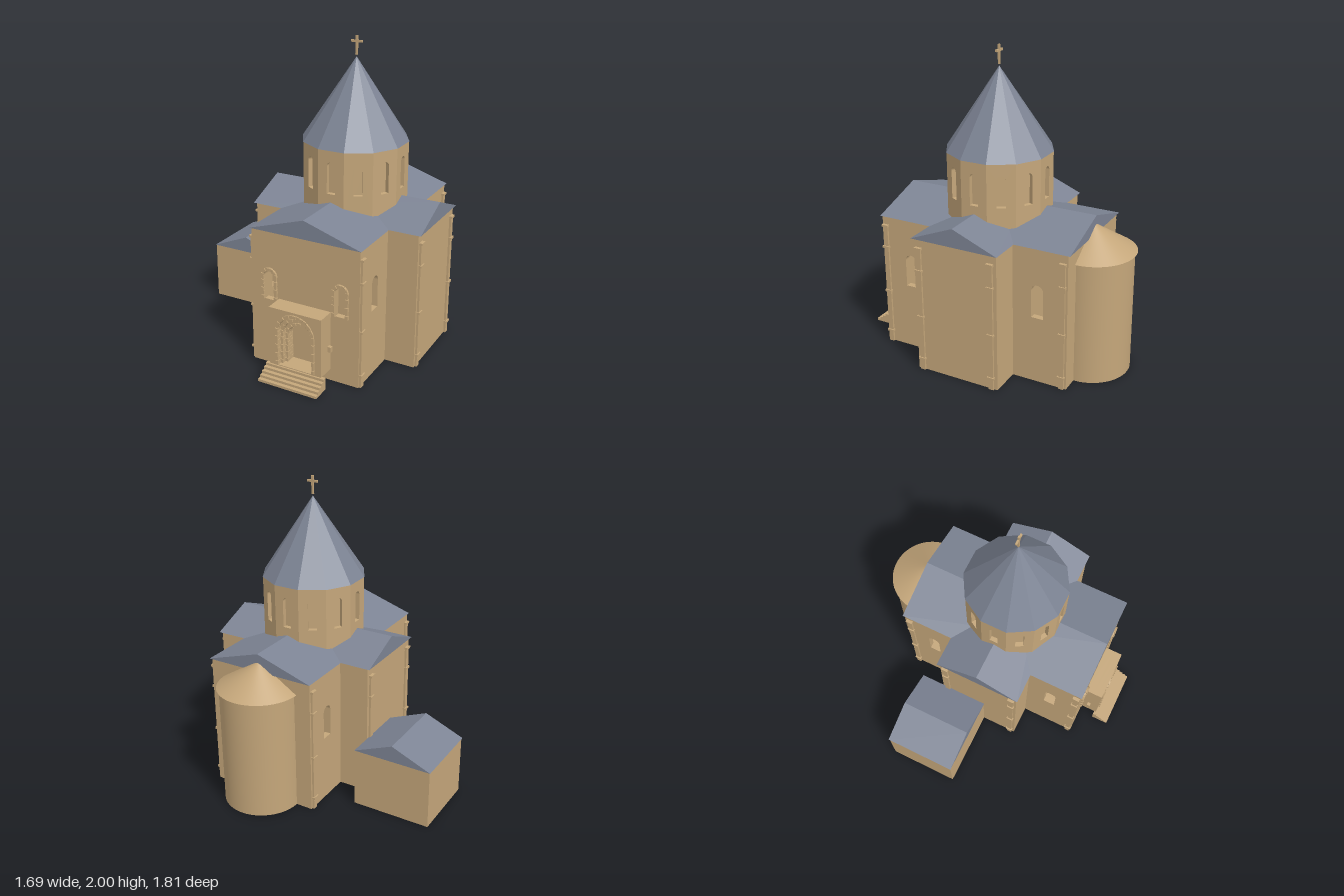
import * as THREE from 'three';

const stone = new THREE.MeshStandardMaterial({ color: 0xc4a67a });
stone.name = 'sandstone';
const slate = new THREE.MeshStandardMaterial({ color: 0x7d8494 });
slate.name = 'slate roof';

const CX = 0.25, CZ = 0.02; // centre of the crossing

export function createModel() {
  const root = new THREE.Group();
  root.name = 'church';

  const add = (name, geo, mat = stone, parent = root) => {
    const m = new THREE.Mesh(geo, mat);
    m.name = name;
    parent.add(m);
    return m;
  };
  // box given by its min and max corners
  const box = (name, x0, x1, y0, y1, z0, z1, parent = root) => {
    const m = add(name, new THREE.BoxGeometry(x1 - x0, y1 - y0, z1 - z0), stone, parent);
    m.position.set((x0 + x1) / 2, (y0 + y1) / 2, (z0 + z1) / 2);
    return m;
  };
  const flat = (geo) => {
    const g = geo.toNonIndexed();
    g.computeVertexNormals();
    return g;
  };
  const extrude = (shape, depth) =>
    new THREE.ExtrudeGeometry(shape, { depth, bevelEnabled: false, curveSegments: 16 });
  const rect = (x0, x1, y0, y1) => new THREE.Shape([
    new THREE.Vector2(x0, y0), new THREE.Vector2(x1, y0),
    new THREE.Vector2(x1, y1), new THREE.Vector2(x0, y1)]);
  // round-headed opening: centre x, sill, spring line, radius
  const archHole = (x, sill, spring, r) => {
    const p = new THREE.Path();
    p.moveTo(x - r, sill);
    p.lineTo(x + r, sill);
    p.lineTo(x + r, spring);
    p.absarc(x, spring, r, 0, Math.PI, false);
    p.lineTo(x - r, sill);
    return p;
  };
  // solid gable roof, ridge along z, centred on its own origin
  const gable = (name, half, rise, length) => {
    const s = new THREE.Shape([new THREE.Vector2(-half, 0), new THREE.Vector2(half, 0), new THREE.Vector2(0, rise)]);
    return add(name, extrude(s, length).translate(0, 0, -length / 2), slate);
  };
  // jamb blocks and voussoirs around a round-headed opening
  const archBlocks = (name, x, sill, spring, rIn, rOut, z0, z1, nArch, nJamb) => {
    const g = new THREE.Group();
    g.name = name;
    root.add(g);
    for (let i = 0; i < nArch; i++) {
      const a0 = (i + 0.05) * Math.PI / nArch, a1 = (i + 0.95) * Math.PI / nArch;
      const s = new THREE.Shape();
      s.absarc(0, 0, rOut, a0, a1, false);
      s.absarc(0, 0, rIn, a1, a0, true);
      const geo = new THREE.ExtrudeGeometry(s, { depth: z1 - z0 - (i % 2) * 0.003, bevelEnabled: false, curveSegments: 2 });
      add('voussoir', geo, stone, g).position.set(x, spring, z0);
    }
    const h = (spring - sill) / nJamb;
    for (let i = 0; i < nJamb; i++) {
      const y0 = sill + i * h, inset = (i % 2) * 0.003;
      for (const s of [-1, 1]) {
        const a = x + s * rIn, b = x + s * (rOut - inset);
        box('jambBlock', Math.min(a, b), Math.max(a, b), y0 + 0.001, y0 + h - 0.001, z0, z1 - inset, g);
      }
    }
  };

  // nave: hollow, with window openings in the front and side walls
  const front = rect(CX - 0.37, CX + 0.37, 0, 0.9);
  for (const s of [-1, 1]) front.holes.push(archHole(CX + s * 0.245, 0.445, 0.605, 0.036));
  add('naveFrontWall', extrude(front, 0.04)).position.z = 0.64;
  box('naveBackWall', CX - 0.37, CX + 0.37, 0, 0.9, -0.63, -0.59);
  box('naveFloor', CX - 0.35, CX + 0.35, 0, 0.01, -0.61, 0.66);
  for (const s of [-1, 1]) {
    const side = rect(-0.64, 0.59, 0, 0.9);
    for (const z of [0.475, -0.43]) side.holes.push(archHole(-z, 0.44, 0.62, 0.04));
    add('naveSideWall', extrude(side, 0.04).rotateY(Math.PI / 2)).position.x = CX + s * 0.35 - 0.02;
  }
  gable('naveRoof', 0.38, 0.12, 1.335).position.set(CX, 0.9, 0.0225);

  // transept
  box('transept', -0.32, 0.82, 0, 0.9, CZ - 0.285, CZ + 0.285);
  const tRoof = gable('transeptRoof', 0.297, 0.12, 1.175);
  tRoof.rotation.y = Math.PI / 2;
  tRoof.position.set(CX, 0.9, CZ);

  // apse: half cylinder with a half cone roof
  add('apse', new THREE.CylinderGeometry(0.257, 0.257, 0.8, 40, 1, false, Math.PI / 2, Math.PI))
    .position.set(CX, 0.4, -0.63);
  add('apseRoof', new THREE.CylinderGeometry(0, 0.273, 0.17, 40, 1, false, Math.PI / 2, Math.PI))
    .position.set(CX, 0.885, -0.63);

  // annex
  box('annex', -0.845, -0.32, 0, 0.395, -0.425, 0.055);
  gable('annexRoof', 0.265, 0.11, 0.49).position.set(-0.585, 0.395, -0.185);

  // drum: twelve panels with blind arched niches around a core
  const drum = new THREE.Group();
  drum.name = 'drum';
  drum.position.set(CX, 0, CZ);
  root.add(drum);
  const sideR = (apothem) => apothem / Math.cos(Math.PI / 12);
  add('drumCore', flat(new THREE.CylinderGeometry(sideR(0.3), sideR(0.3), 0.44, 12)), stone, drum)
    .position.y = 1.125;
  drum.children[0].rotation.y = Math.PI / 12;
  const w = 0.33 * Math.tan(Math.PI / 12);
  for (let i = 0; i < 12; i++) {
    const s = rect(-w, w, 0.91, 1.35);
    s.holes.push(archHole(0, 1.073, 1.25, 0.028));
    add('drumPanel', extrude(s, 0.03).translate(0, 0, 0.3), stone, drum).rotation.y = i * Math.PI / 6;
  }
  const spire = add('spire', flat(new THREE.ConeGeometry(sideR(0.332), 0.52, 12)), slate);
  spire.position.set(CX, 1.61, CZ);
  spire.rotation.y = Math.PI / 12;

  // cross
  box('crossPost', CX - 0.007, CX + 0.007, 1.88, 2.0, CZ - 0.006, CZ + 0.006);
  box('crossArm', CX - 0.038, CX + 0.038, 1.957, 1.971, CZ - 0.006, CZ + 0.006);

  // banded pilasters on the side faces near each corner
  for (const s of [-1, 1]) {
    for (const [half, z] of [[0.37, 0.655], [0.37, -0.6], [0.57, 0.27], [0.57, -0.225]]) {
      const g = new THREE.Group();
      g.name = 'pilaster';
      g.position.set(CX + s * half, 0, z);
      root.add(g);
      box('shaft', -0.013, 0.013, 0, 0.84, -0.017, 0.017, g);
      for (const y of [0.08, 0.375, 0.69, 0.838])
        box('band', -0.021, 0.021, y - 0.007, y + 0.007, -0.023, 0.023, g);
    }
  }

  // front window surrounds
  for (const s of [-1, 1])
    archBlocks('windowSurround', CX + s * 0.245, 0.445, 0.605, 0.036, 0.056, 0.68, 0.696, 9, 6);

  // portal: three stepped layers, each lined with arch blocks
  const layers = [
    [0.765, 0.8, 0.135, 0.117, 0.315],
    [0.735, 0.765, 0.117, 0.1, 0.293],
    [0.68, 0.735, 0.1, 0.083, 0.268]];
  for (const [z0, z1, rOut, rIn, spring] of layers) {
    const s = rect(CX - 0.18, CX + 0.18, 0.08, 0.465);
    s.holes.push(archHole(CX, 0.085, spring, rOut));
    add('portalLayer', extrude(s, z1 - z0)).position.z = z0;
    archBlocks('portalArch', CX, 0.085, spring, rIn, rOut, z0, z1 + 0.01, 17, 8);
  }
  for (const s of [-1, 1])
    box('wallBlock', CX + s * 0.203 - 0.011, CX + s * 0.203 + 0.011, 0.23, 0.265, 0.72, 0.743);

  // entrance steps
  for (let i = 0; i < 5; i++)
    box('step', CX - 0.203, CX + 0.203, i * 0.016, (i + 1) * 0.016, 0.787, 0.905 - i * 0.0235);

  return root;
}
